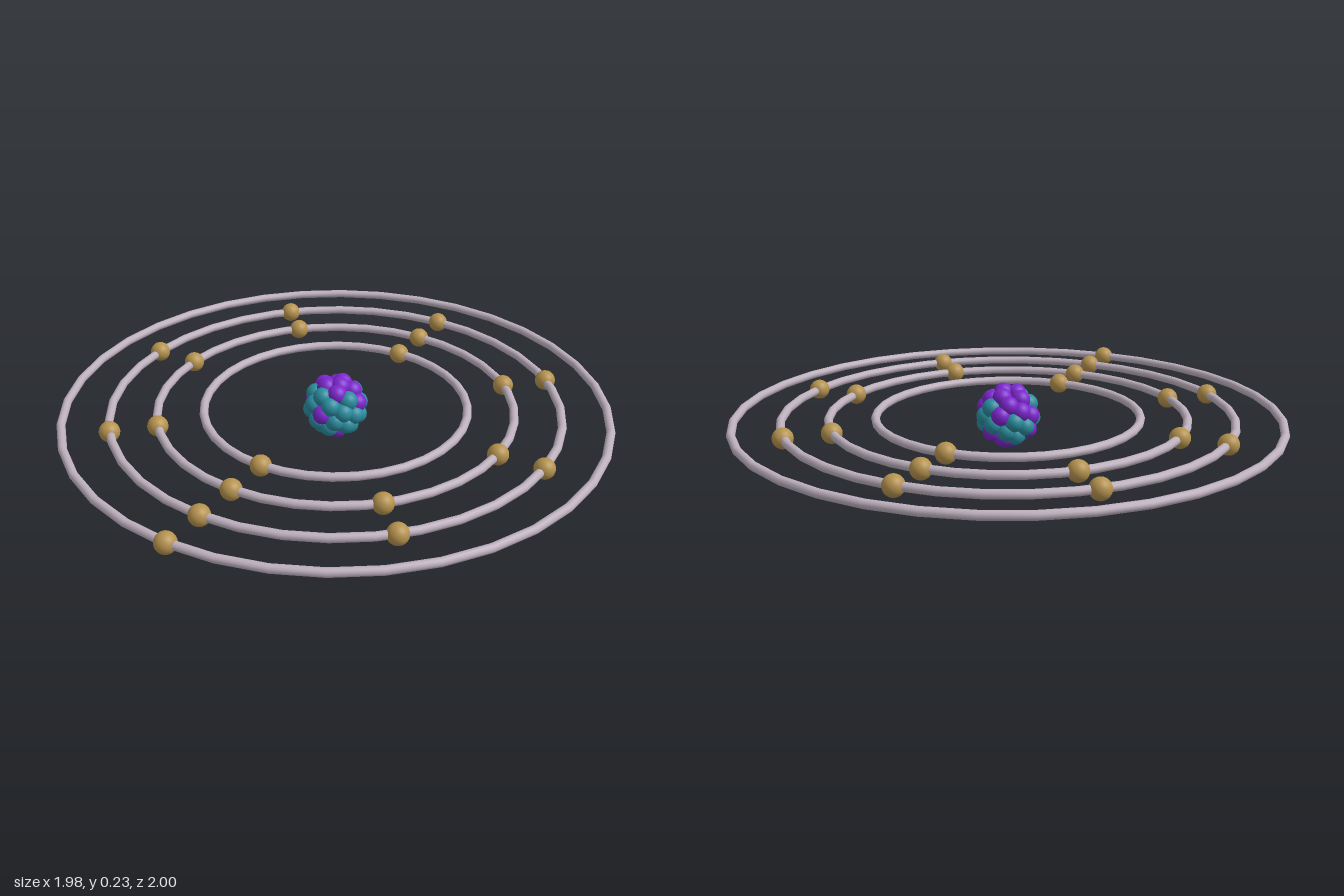
import * as THREE from 'three';

const mat = (color) => new THREE.MeshStandardMaterial({ color });

export function createModel() {
  const atom = new THREE.Group();
  atom.name = 'atom';
  const ringMat = mat(0xbdb0bd);
  const electronMat = mat(0xb5924e);
  const protonMat = mat(0x7d26cd);
  const neutronMat = mat(0x2a8c9e);

  // Nucleus: a ball of 39 packed spheres in two colours
  const nucleus = new THREE.Group();
  nucleus.name = 'nucleus';
  const nucleonGeo = new THREE.SphereGeometry(0.035, 20, 14);
  // Directions around which the neutrons cluster
  const patches = [
    [-0.7, 0.35, 0.6], [-0.15, -0.6, 0.78], [0.65, 0.3, 0.7],
    [0.5, 0.1, -0.86], [-0.6, -0.2, -0.77], [0.85, -0.45, -0.1],
  ].map((p) => new THREE.Vector3(...p).normalize());
  const count = 39;
  for (let i = 0; i < count; i++) {
    const y = 1 - (2 * i + 1) / count;
    const r = Math.sqrt(1 - y * y);
    const a = i * Math.PI * (3 - Math.sqrt(5));
    const dir = new THREE.Vector3(r * Math.cos(a), y, r * Math.sin(a));
    const isNeutron = patches.some((p) => p.dot(dir) > 0.8);
    const nucleon = new THREE.Mesh(nucleonGeo, isNeutron ? neutronMat : protonMat);
    nucleon.name = isNeutron ? 'neutron' : 'proton';
    nucleon.position.copy(dir.multiplyScalar(0.084));
    nucleus.add(nucleon);
  }
  atom.add(nucleus);

  // Four flat shells, each a ring with evenly spaced electrons
  const electronGeo = new THREE.SphereGeometry(0.037, 24, 16);
  const shells = [[0.474, 2], [0.64, 8], [0.807, 8], [0.973, 1]];
  shells.forEach(([radius, electrons], n) => {
    const shell = new THREE.Group();
    shell.name = `shell${n + 1}`;
    const ring = new THREE.Mesh(new THREE.TorusGeometry(radius, 0.0155, 12, 36), ringMat);
    ring.name = 'orbitRing';
    ring.rotation.x = Math.PI / 2;
    shell.add(ring);
    for (let i = 0; i < electrons; i++) {
      const a = (i / electrons) * Math.PI * 2;
      const electron = new THREE.Mesh(electronGeo, electronMat);
      electron.name = 'electron';
      electron.position.set(radius * Math.sin(a), 0, radius * Math.cos(a));
      shell.add(electron);
    }
    atom.add(shell);
  });

  // Stand the nucleus on the ground and centre the depth
  atom.position.set(0, 0.119, -0.011);
  const model = new THREE.Group();
  model.name = 'atomModel';
  model.add(atom);
  return model;
}
